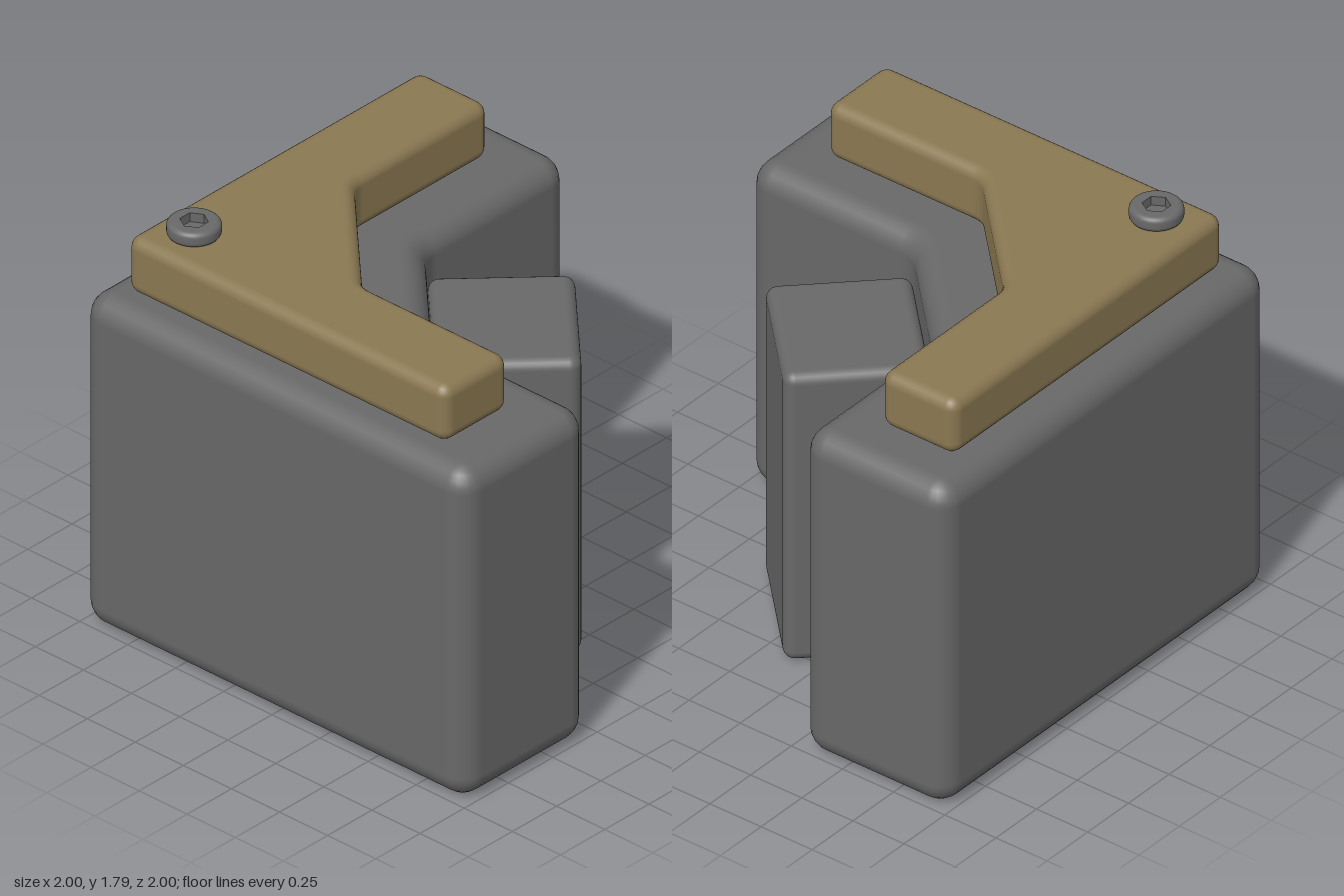
import * as THREE from 'three';

const STEPS = 6;

// Upright solid with filleted corners and rounded top and bottom edges.
// Outline is [x, z] pairs; convex corners get `round`, concave ones `fillet`.
function roundedPrism(outline, y0, y1, bevel, round, fillet) {
  const n = outline.length;
  const normals = outline.map(([x, z], i) => {
    const [x2, z2] = outline[(i + 1) % n];
    return new THREE.Vector2(z2 - z, x - x2).normalize();
  });
  // Arc samples: centre, signed radius and outward direction
  const samples = [];
  outline.forEach(([x, z], i) => {
    const a = normals[(i + n - 1) % n], b = normals[i];
    const R = a.cross(b) > 0 ? round : -fillet;
    const k = R / (1 + a.dot(b));
    const turn = Math.atan2(a.cross(b), a.dot(b));
    for (let s = 0; s <= STEPS; s++) {
      const dir = a.clone().rotateAround(new THREE.Vector2(), turn * s / STEPS);
      samples.push({ cx: x - k * (a.x + b.x), cz: z - k * (a.y + b.y), R, dir });
    }
  });
  // Stack rings up the rounded profile
  const pos = [], nor = [], idx = [], m = samples.length;
  const rings = 2 * (STEPS + 1);
  for (let j = 0; j < rings; j++) {
    const top = j > STEPS;
    const t = (top ? j - STEPS - 1 : j - STEPS) / STEPS * Math.PI / 2;
    const c = Math.cos(t), s = Math.sin(t);
    const inset = bevel * (1 - c);
    const y = (top ? y1 - bevel : y0 + bevel) + bevel * s;
    for (const { cx, cz, R, dir } of samples) {
      pos.push(cx + dir.x * (R - inset), y, cz + dir.y * (R - inset));
      nor.push(dir.x * c, s, dir.y * c);
    }
  }
  for (let j = 0; j < rings - 1; j++) {
    for (let i = 0; i < m; i++) {
      const a = j * m + i, b = j * m + (i + 1) % m;
      idx.push(a, a + m, b + m, a, b + m, b);
    }
  }
  // Flat caps
  const contour = samples.map((_, i) => new THREE.Vector2(pos[i * 3], pos[i * 3 + 2]));
  const last = (rings - 1) * m;
  for (const [a, b, c] of THREE.ShapeUtils.triangulateShape(contour, [])) {
    idx.push(a, b, c, last + a, last + c, last + b);
  }
  const g = new THREE.BufferGeometry();
  g.setAttribute('position', new THREE.Float32BufferAttribute(pos, 3));
  g.setAttribute('normal', new THREE.Float32BufferAttribute(nor, 3));
  g.setIndex(idx);
  return g;
}

// Corner outline: two arms joined by a diagonal inner wall
function cornerOutline(min, max, inner, bend) {
  return [[min, min], [max, min], [max, inner], [bend, inner],
    [inner, bend], [inner, max], [min, max]];
}

export function createModel() {
  const model = new THREE.Group();
  const grey = new THREE.MeshStandardMaterial({ color: 0x686868 });
  grey.name = 'grey';
  const tan = new THREE.MeshStandardMaterial({ color: 0x8a7852 });
  tan.name = 'tan';
  const add = (name, geometry, material, parent = model) => {
    const mesh = new THREE.Mesh(geometry, material);
    mesh.name = name;
    parent.add(mesh);
    return mesh;
  };

  // Main body and the plate on top of it
  add('cornerBlock', roundedPrism(cornerOutline(-1, 1, -0.29, 0.18), 0, 1.48, 0.1, 0.102, 0.16), grey);
  add('topPlate', roundedPrism(cornerOutline(-0.875, 0.785, -0.51, 0.02), 1.48, 1.73, 0.05, 0.052, 0.12), tan);

  // Diagonal post nested against the inner wall
  const post = [[-0.28, 0.18], [0.18, -0.28], [0.58, 0.12], [0.12, 0.58]];
  add('post', roundedPrism(post, 0, 1.325, 0.045, 0.047, 0), grey);

  // Bolt with a hexagonal socket
  const bolt = new THREE.Group();
  bolt.name = 'bolt';
  bolt.position.set(-0.69, 1.73, -0.69);
  model.add(bolt);
  const radius = 0.107, height = 0.065, edge = 0.022, hex = 0.056;
  const profile = [new THREE.Vector2(0, 0)];
  for (let i = 0; i <= 10; i++) {
    const t = (i < 5 ? i / 4 - 1 : (i - 5) / 5) * Math.PI / 2;
    profile.push(new THREE.Vector2(radius - edge + edge * Math.cos(t),
      (i < 5 ? edge : height - edge) + edge * Math.sin(t)));
  }
  add('boltHead', new THREE.LatheGeometry(profile, 48), grey, bolt);

  const face = new THREE.Shape().absarc(0, 0, radius - edge, 0, Math.PI * 2);
  const hole = [];
  for (let i = 0; i < 6; i++) {
    hole.push(new THREE.Vector2(hex * Math.cos(i * Math.PI / 3), hex * Math.sin(i * Math.PI / 3)));
  }
  face.holes.push(new THREE.Path(hole));
  add('boltFace', new THREE.ShapeGeometry(face, 24).rotateX(-Math.PI / 2).translate(0, height, 0), grey, bolt);

  const socket = new THREE.LatheGeometry([
    new THREE.Vector2(hex, height), new THREE.Vector2(hex, 0.025), new THREE.Vector2(0, 0.025),
  ], 6, Math.PI / 2).toNonIndexed();
  socket.computeVertexNormals();
  add('boltSocket', socket, grey, bolt);

  return model;
}
